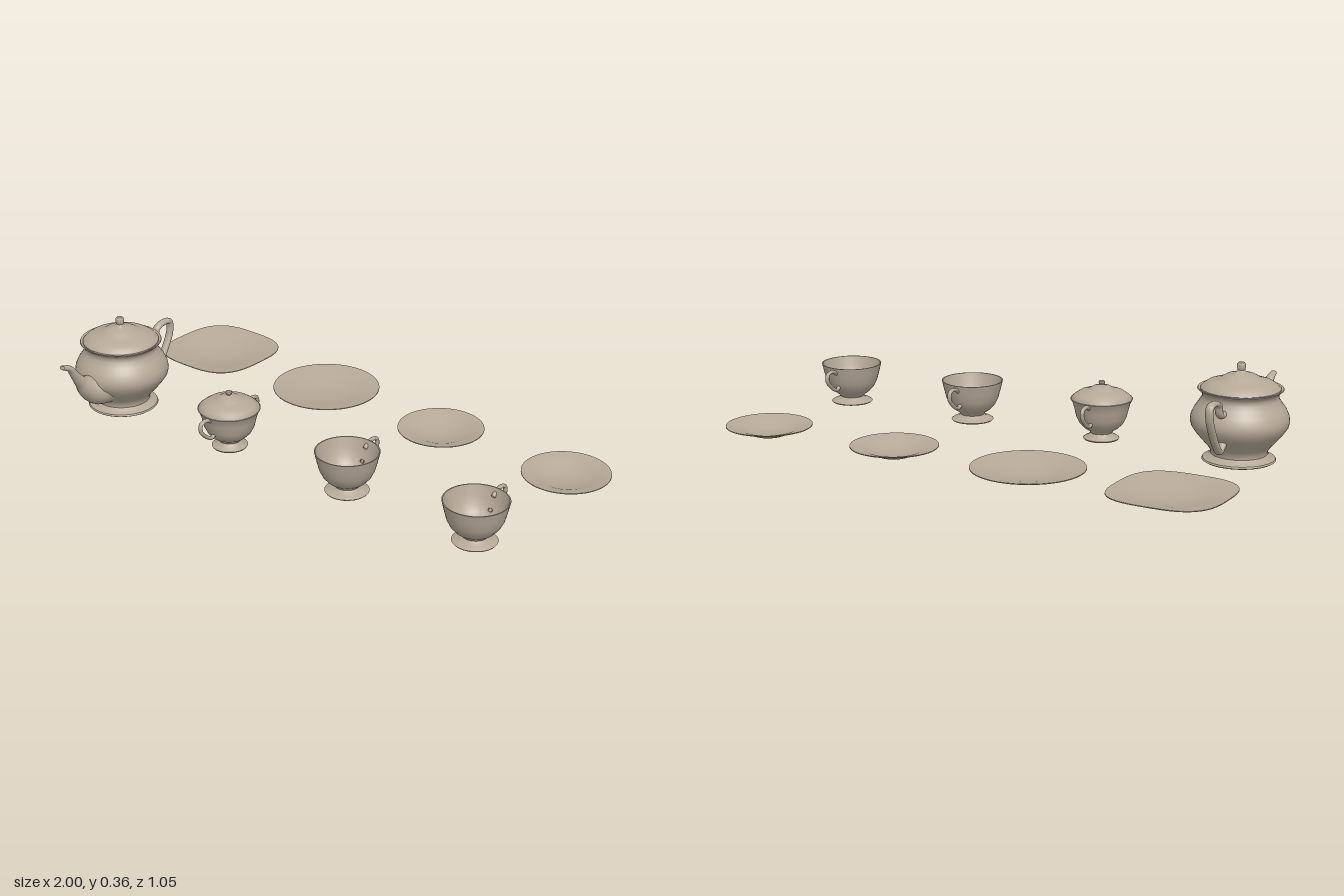
import * as THREE from 'three';
import { toCreasedNormals } from 'three/addons/utils/BufferGeometryUtils.js';

export function createModel() {
  const china = new THREE.MeshStandardMaterial({ color: 0xb5a897, side: THREE.DoubleSide });
  china.name = 'warm porcelain';
  const model = new THREE.Group();
  model.name = 'teaSet';

  const add = (parent, name, geometry) => {
    const mesh = new THREE.Mesh(geometry, china);
    mesh.name = name;
    parent.add(mesh);
    return mesh;
  };
  const group = (name, x, z) => {
    const g = new THREE.Group();
    g.name = name;
    g.position.set(x, 0, z);
    model.add(g);
    return g;
  };
  // Turned part from [radius, height] pairs
  const turned = (profile) => toCreasedNormals(
    new THREE.LatheGeometry(profile.map(([r, y]) => new THREE.Vector2(r, y)), 48), 0.7);

  // Tapered tube in the x = 0 plane; stations are [z, y, half width, half thickness]
  const sweep = (stations, steps = 40, sides = 14) => {
    const path = new THREE.CatmullRomCurve3(stations.map(([z, y]) => new THREE.Vector3(0, y, z)));
    const size = new THREE.CatmullRomCurve3(stations.map(([, , w, h]) => new THREE.Vector3(w, h, 0)));
    const pos = [], index = [];
    for (let i = 0; i <= steps; i++) {
      const p = path.getPoint(i / steps), t = path.getTangent(i / steps), s = size.getPoint(i / steps);
      for (let j = 0; j < sides; j++) {
        const a = j / sides * Math.PI * 2, n = Math.sin(a) * s.y;
        pos.push(Math.cos(a) * s.x, p.y + t.z * n, p.z - t.y * n);
        if (i < steps) {
          const k = (j + 1) % sides, A = i * sides + j, B = i * sides + k;
          index.push(A, B, A + sides, B, B + sides, A + sides);
        }
      }
    }
    const g = new THREE.BufferGeometry();
    g.setAttribute('position', new THREE.Float32BufferAttribute(pos, 3));
    g.setIndex(index);
    g.computeVertexNormals();
    return g;
  };

  // Teapot
  const pot = group('teapot', -0.8, 0.221);
  add(pot, 'teapotBody', turned([
    [0, 0.004], [0.125, 0.004], [0.131, 0.008], [0.128, 0.014], [0.112, 0.02], [0.1, 0.03],
    [0.101, 0.042], [0.113, 0.06], [0.134, 0.083], [0.155, 0.108], [0.17, 0.13], [0.175, 0.15],
    [0.172, 0.17], [0.162, 0.192], [0.148, 0.212], [0.136, 0.23], [0.134, 0.243], [0.14, 0.254],
    [0.152, 0.264], [0.15, 0.267], [0.138, 0.26], [0.125, 0.255]]));
  add(pot, 'teapotLid', turned([
    [0.12, 0.252], [0.141, 0.259], [0.141, 0.266], [0.132, 0.276], [0.117, 0.286], [0.098, 0.292],
    [0.078, 0.298], [0.062, 0.307], [0.05, 0.314], [0.032, 0.319], [0.018, 0.324], [0.013, 0.331],
    [0.016, 0.34], [0.016, 0.35], [0.011, 0.357], [0, 0.359]]));
  add(pot, 'spout', sweep([
    [0.1, 0.12, 0.09, 0.07], [0.14, 0.122, 0.074, 0.066], [0.178, 0.138, 0.048, 0.046],
    [0.212, 0.168, 0.028, 0.024], [0.24, 0.205, 0.02, 0.016], [0.264, 0.239, 0.016, 0.012],
    [0.301, 0.256, 0.011, 0.008]], 48, 20));
  add(pot, 'teapotHandle', sweep([
    [-0.14, 0.205], [-0.168, 0.204], [-0.181, 0.215], [-0.191, 0.245], [-0.222, 0.258],
    [-0.26, 0.253], [-0.262, 0.212], [-0.236, 0.155], [-0.2, 0.1], [-0.174, 0.076],
    [-0.16, 0.085], [-0.132, 0.105]].map(([z, y]) => [z, y, 0.015, 0.011]), 72));

  // Small handle shared by the sugar bowl and cups
  const smallHandle = (reach) => sweep([
    [0.095, 0.128], [0.113, 0.142], [0.135, 0.149], [0.16, 0.141], [0.162, 0.116],
    [0.138, 0.089], [0.113, 0.073], [0.1, 0.071], [0.08, 0.085]]
    .map(([d, y]) => [-d * reach, y, 0.008, 0.007]), 48, 10);

  // Sugar bowl
  const bowl = group('sugarBowl', -0.254, 0.225);
  add(bowl, 'bowlBody', turned([
    [0, 0.003], [0.063, 0.003], [0.066, 0.008], [0.06, 0.013], [0.046, 0.019], [0.04, 0.028],
    [0.045, 0.036], [0.062, 0.046], [0.08, 0.064], [0.092, 0.088], [0.099, 0.118],
    [0.106, 0.142], [0.114, 0.155], [0.108, 0.157], [0.095, 0.15]]));
  add(bowl, 'bowlLid', turned([
    [0.09, 0.15], [0.112, 0.154], [0.111, 0.159], [0.098, 0.17], [0.08, 0.182], [0.06, 0.187],
    [0.045, 0.193], [0.032, 0.201], [0.015, 0.204], [0.009, 0.208], [0.012, 0.215],
    [0.01, 0.221], [0, 0.224]]));
  add(bowl, 'bowlBackHandle', smallHandle(0.93));
  add(bowl, 'bowlFrontHandle', smallHandle(0.93)).rotation.y = Math.PI;

  // Cups: outer wall, rim, then inner wall
  for (const x of [0.29, 0.837]) {
    const cup = group('teacup', x, 0.22);
    add(cup, 'cupBody', turned([
      [0, 0.003], [0.076, 0.003], [0.079, 0.007], [0.07, 0.013], [0.052, 0.018], [0.044, 0.026],
      [0.05, 0.034], [0.068, 0.046], [0.086, 0.066], [0.098, 0.09], [0.106, 0.12],
      [0.115, 0.157], [0.111, 0.157], [0.101, 0.12], [0.092, 0.092], [0.078, 0.068],
      [0.06, 0.05], [0.035, 0.042], [0, 0.04]]));
    add(cup, 'cupHandle', smallHandle(1.02));
  }

  // Plates: shallow dishes with a small flat base
  const plate = (name, x, radius, square) => {
    const g = turned([
      [0, 0.002], [0.06, 0.002], [radius * 0.65, 0.019], [radius, 0.036], [radius, 0.039],
      [radius * 0.96, 0.038], [radius * 0.65, 0.025], [0.068, 0.01], [0, 0.007]]);
    if (square) {
      // Push the outline towards a rounded square, more so near the rim
      const p = g.attributes.position;
      for (let i = 0; i < p.count; i++) {
        const px = p.getX(i), pz = p.getZ(i), r = Math.hypot(px, pz);
        if (r < 1e-5) continue;
        const c = Math.abs(px / r), s = Math.abs(pz / r);
        const k = 1 + (Math.pow(c ** 3.1 + s ** 3.1, -1 / 3.1) - 1) * Math.min(1, r / radius);
        p.setX(i, px * k);
        p.setZ(i, pz * k);
      }
    }
    add(group(name, x, -0.324), name + 'Dish', g);
  };
  plate('squarePlate', -0.798, 0.202, true);
  plate('roundPlate', -0.254, 0.202, false);
  plate('saucer', 0.29, 0.159, false);
  plate('saucer', 0.837, 0.159, false);

  return model;
}
